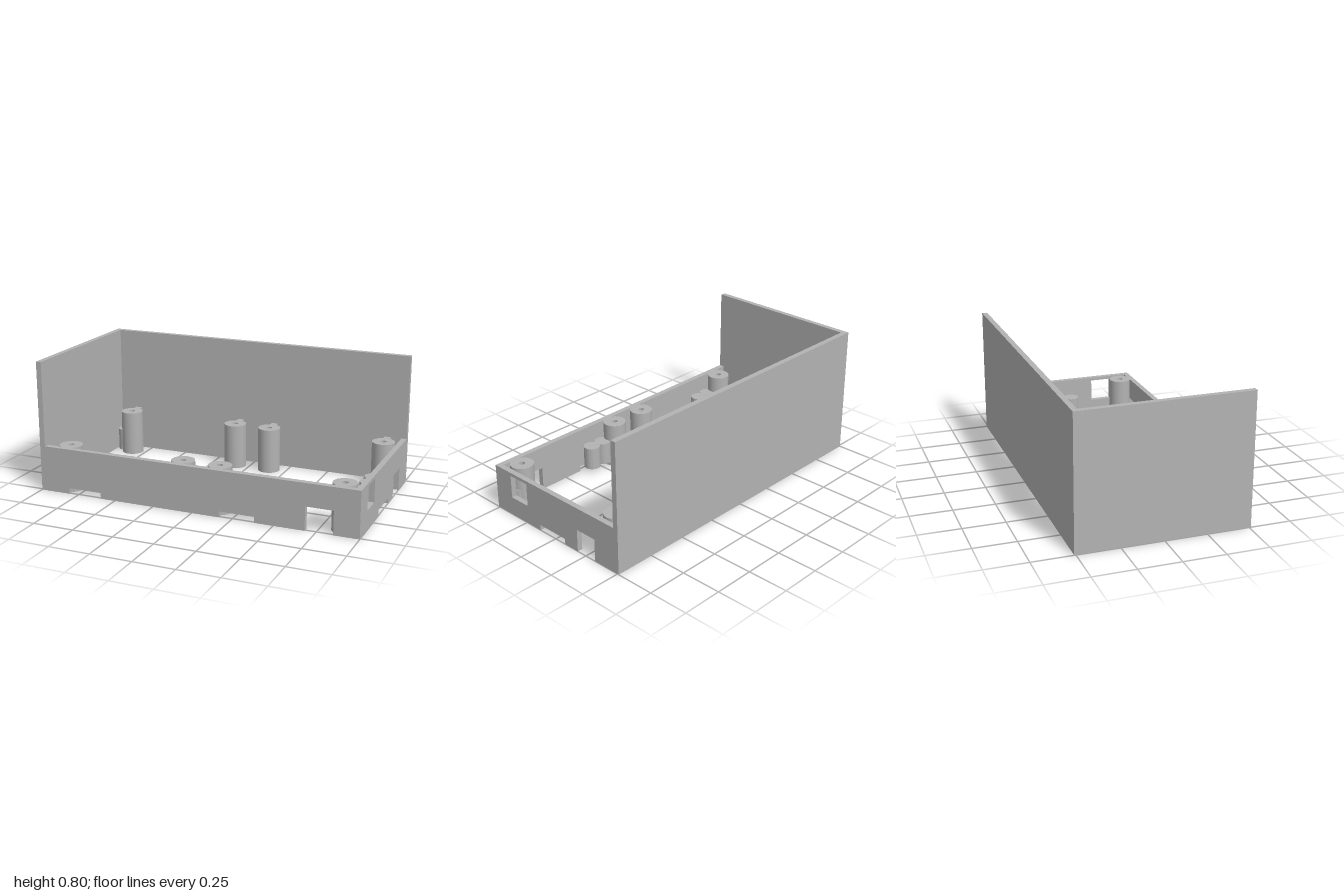
import * as THREE from 'three';
import { toCreasedNormals } from 'three/addons/utils/BufferGeometryUtils.js';

const HX = 1, HZ = 0.51, T = 0.033;   // half width, half depth, wall thickness
const TALL = 0.8, LOW = 0.28;         // wall heights

export function createModel() {
  const model = new THREE.Group();
  const grey = new THREE.MeshStandardMaterial({ color: 0xb3b3b3 });
  grey.name = 'light grey';

  function add(name, geometry, x = 0, y = 0, z = 0) {
    const mesh = new THREE.Mesh(geometry, grey);
    mesh.name = name;
    mesh.position.set(x, y, z);
    model.add(mesh);
  }
  function box(name, x0, x1, y0, y1, z0, z1) {
    add(name, new THREE.BoxGeometry(x1 - x0, y1 - y0, z1 - z0),
      (x0 + x1) / 2, (y0 + y1) / 2, (z0 + z1) / 2);
  }
  const extrude = (shape, depth) =>
    new THREE.ExtrudeGeometry(shape, { depth, bevelEnabled: false, curveSegments: 40 });

  // Low wall outline with notches [start, end, height] along its bottom edge
  function notchedWall(u0, u1, notches) {
    const s = new THREE.Shape();
    s.moveTo(u0, 0);
    for (const [a, b, h] of notches) {
      s.lineTo(a, 0); s.lineTo(a, h); s.lineTo(b, h); s.lineTo(b, 0);
    }
    s.lineTo(u1, 0); s.lineTo(u1, LOW); s.lineTo(u0, LOW);
    s.closePath();
    return s;
  }

  // Tall back and right walls
  box('backWall', -HX, HX, 0, TALL, -HZ, -HZ + T);
  box('rightTallWall', -HX, -HX + T, 0, TALL, -HZ + T, HZ);

  // Low front wall
  const front = notchedWall(-HX + T, HX,
    [[-0.81, -0.595, 0.035], [0.17, 0.385, 0.035], [0.685, 0.85, 0.143]]);
  add('frontLowWall', extrude(front, T), 0, 0, HZ - T);

  // Low left wall with a square window; its outline runs along -z
  const side = notchedWall(-HZ + T, HZ - T, [[-0.13, 0.08, 0.035], [0.185, 0.325, 0.14]]);
  const win = new THREE.Path();
  win.moveTo(-0.375, 0.117); win.lineTo(-0.375, 0.26);
  win.lineTo(-0.235, 0.26); win.lineTo(-0.235, 0.117);
  win.closePath();
  side.holes.push(win);
  add('leftLowWall', extrude(side, T).rotateY(Math.PI / 2), HX - T, 0, 0);

  // Screw posts: narrow hole on top, wide counterbore below
  const profile = [[0.07, 0], [0.07, LOW], [0.018, LOW], [0.018, 0.22],
    [0.04, 0.22], [0.04, 0], [0.07, 0]].map(p => new THREE.Vector2(...p));
  const post = toCreasedNormals(new THREE.LatheGeometry(profile, 40), 0.6);
  for (const x of [-0.84, -0.095, 0.138, 0.882]) {
    add('frontPost', post, x, 0, 0.415);
    add('backPost', post, x, 0, -0.375);
    box('backPostRib', x - 0.02, x + 0.02, 0, LOW, -HZ + T, -0.436);
  }

  // Short pegs with a blind hole below; an optional flat keeps them out of a post's bore
  function peg(name, x, y, z, angle = 0, flat = 0.05) {
    const half = Math.acos(flat / 0.05);
    const section = (holed) => {
      const s = new THREE.Shape();
      s.absarc(0, 0, 0.05, angle + half, angle + Math.PI * 2 - half, false);
      s.closePath();
      if (holed) s.holes.push(new THREE.Path().absarc(0, 0, 0.012, 0, Math.PI * 2, true));
      return s;
    };
    for (const [holed, y0, h] of [[true, 0, 0.1], [false, 0.1, 0.04]]) {
      const g = extrude(section(holed), h).rotateX(-Math.PI / 2);
      add(name, toCreasedNormals(g, 0.6), x, y + y0, z);
    }
  }
  for (const s of [-1, 1]) {
    const postX = s < 0 ? -0.84 : 0.882;
    for (const [z, postZ] of [[0.415, 0.415], [-0.42, -0.375]]) {
      const x = s * 0.912, dx = postX - x, dz = postZ - z;
      const flat = Math.max(-0.04, Math.min(0.05, Math.hypot(dx, dz) - 0.045));
      peg('cornerPeg', x, 0, z, Math.atan2(-dz, dx), flat);
    }
  }
  for (const x of [-0.745, -0.655, 0.232, 0.325]) peg('frontPeg', x, 0.035, 0.427);
  for (const z of [-0.025, 0.07]) peg('leftPeg', 0.917, 0.035, z);

  return model;
}
